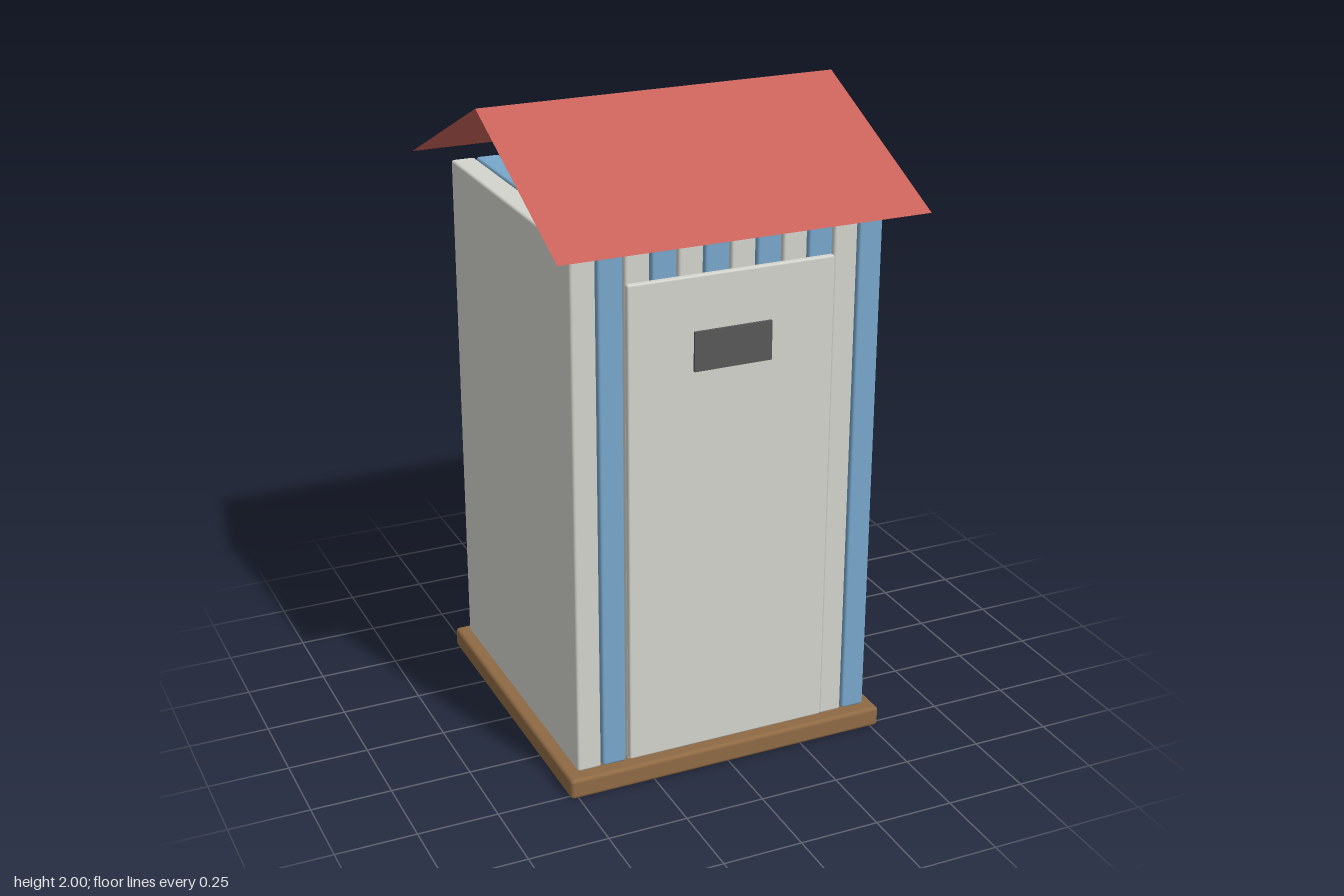
import * as THREE from 'three';
import { RoundedBoxGeometry } from 'three/addons/geometries/RoundedBoxGeometry.js';

const material = (name, color, side = THREE.FrontSide) => {
  const m = new THREE.MeshStandardMaterial({ color, side });
  m.name = name;
  return m;
};

export function createModel() {
  const group = new THREE.Group();
  group.name = 'beachHut';

  const white = material('offWhite', 0xd4d4ce);
  const blue = material('blue', 0x78a8cc);
  const brown = material('brown', 0x8f6a44);
  const dark = material('darkGrey', 0x585858);
  const red = material('roofRed', 0xc8625a, THREE.DoubleSide);

  const add = (name, geometry, mat, x, y, z) => {
    const mesh = new THREE.Mesh(geometry, mat);
    mesh.name = name;
    mesh.position.set(x, y, z);
    group.add(mesh);
    return mesh;
  };

  // Floor slab with softened edges
  add('base', new RoundedBoxGeometry(1.05, 0.066, 1.05, 2, 0.012), brown, 0, 0.033, 0);

  // Twelve full-depth boards in alternating colours
  const count = 12, pitch = 0.0818, boardHeight = 1.647;
  const board = new RoundedBoxGeometry(0.076, boardHeight, 0.974, 2, 0.008);
  for (let i = 0; i < count; i++) {
    const x = (i - (count - 1) / 2) * pitch;
    add('board' + (i + 1), board, i % 2 ? blue : white, x, 0.068 + boardHeight / 2, 0);
  }

  // Door panel and its dark window
  add('door', new RoundedBoxGeometry(0.65, 1.515, 0.022, 2, 0.006), white, 0, 0.8375, 0.494);
  add('doorWindow', new THREE.BoxGeometry(0.244, 0.12, 0.009), dark, 0, 1.37, 0.5095);

  // Open gable roof: two thin sheets meeting at the ridge
  const ridge = 2, eaves = 1.72, reach = 0.612;
  const slope = Math.hypot(ridge - eaves, reach);
  const tilt = Math.atan2(ridge - eaves, reach);
  for (const side of [1, -1]) {
    const sheet = new THREE.PlaneGeometry(1.144, slope).rotateX(-Math.PI / 2);
    const roof = add(side > 0 ? 'roofFront' : 'roofBack', sheet, red, 0, (ridge + eaves) / 2, side * reach / 2);
    roof.rotation.x = side * tilt;
  }

  return group;
}
